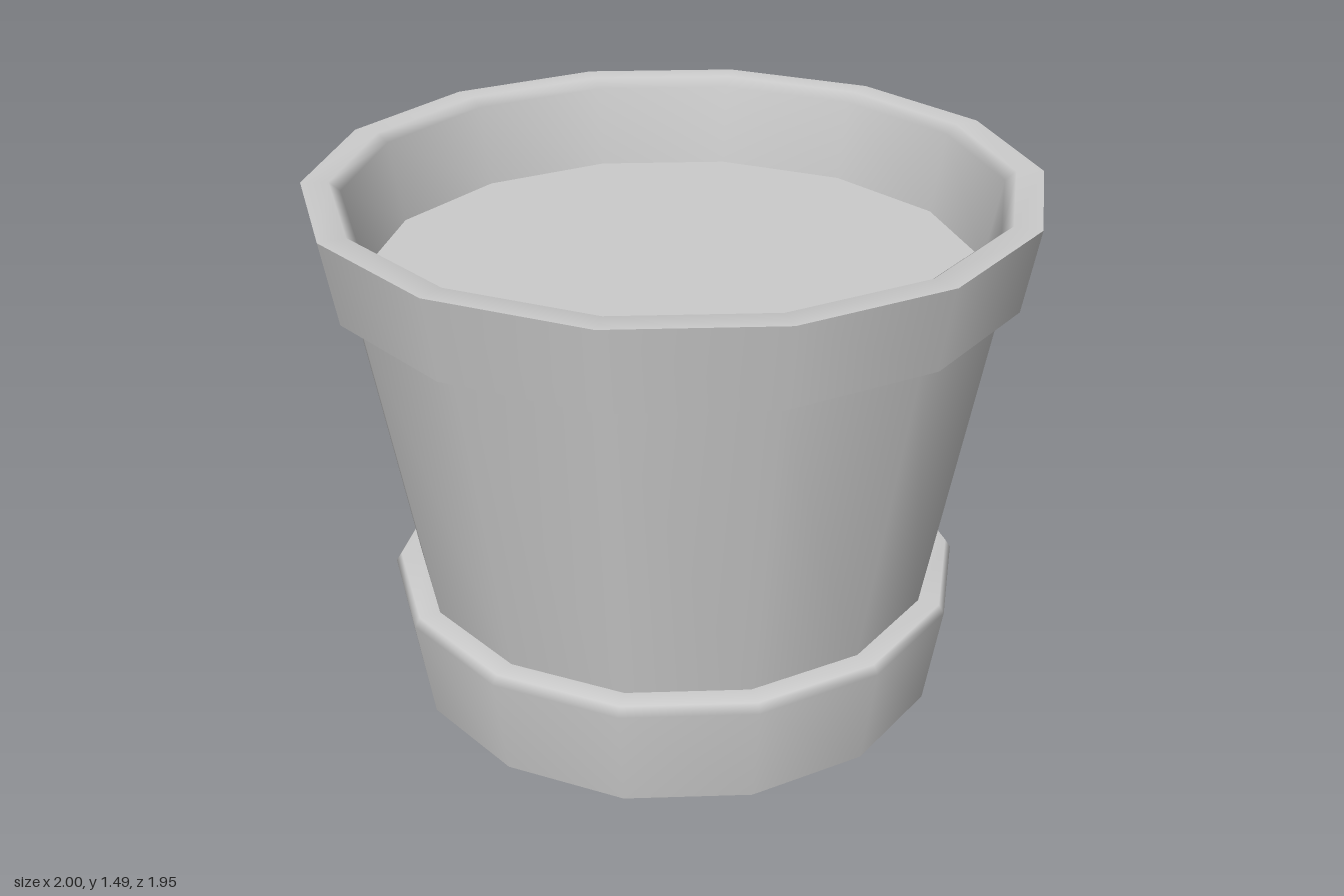
import * as THREE from 'three';
import { mergeGeometries } from 'three/addons/utils/BufferGeometryUtils.js';

const SIDES = 14;
const material = new THREE.MeshStandardMaterial({ color: 0xcccccc, side: THREE.DoubleSide });

// Turned part: each run of [radius, y] points is smooth, with sharp edges between runs
function turned(name, runs) {
  const parts = runs.map((run) => new THREE.LatheGeometry(
    run.map(([r, y]) => new THREE.Vector2(r, y)), SIDES, Math.PI / 2));
  const mesh = new THREE.Mesh(mergeGeometries(parts), material);
  mesh.name = name;
  return mesh;
}

export function createModel() {
  const group = new THREE.Group();
  group.name = 'flowerPot';

  // Tapered wall, open at the bottom, with a thick collar and softened inner lip
  group.add(turned('pot', [
    [[0.69, 0.29], [0.743, 0.29]],
    [[0.743, 0.29], [0.91, 1.255]],
    [[0.91, 1.255], [0.96, 1.255]],
    [[0.96, 1.255], [1, 1.485]],
    [[1, 1.485], [0.925, 1.485], [0.895, 1.46], [0.853, 1.23]],
    [[0.853, 1.23], [0.69, 0.29]],
  ]));

  // Ring-shaped saucer with a rounded upper edge
  group.add(turned('saucer', [
    [[0.70, 0], [0.78, 0]],
    [[0.78, 0], [0.826, 0.3], [0.81, 0.325], [0.745, 0.325]],
    [[0.745, 0.325], [0.70, 0]],
  ]));

  // Flat soil surface inside the collar
  const soil = new THREE.Mesh(new THREE.CircleGeometry(0.853, SIDES).rotateX(-Math.PI / 2), material);
  soil.name = 'soil';
  soil.position.y = 1.23;
  group.add(soil);

  return group;
}
